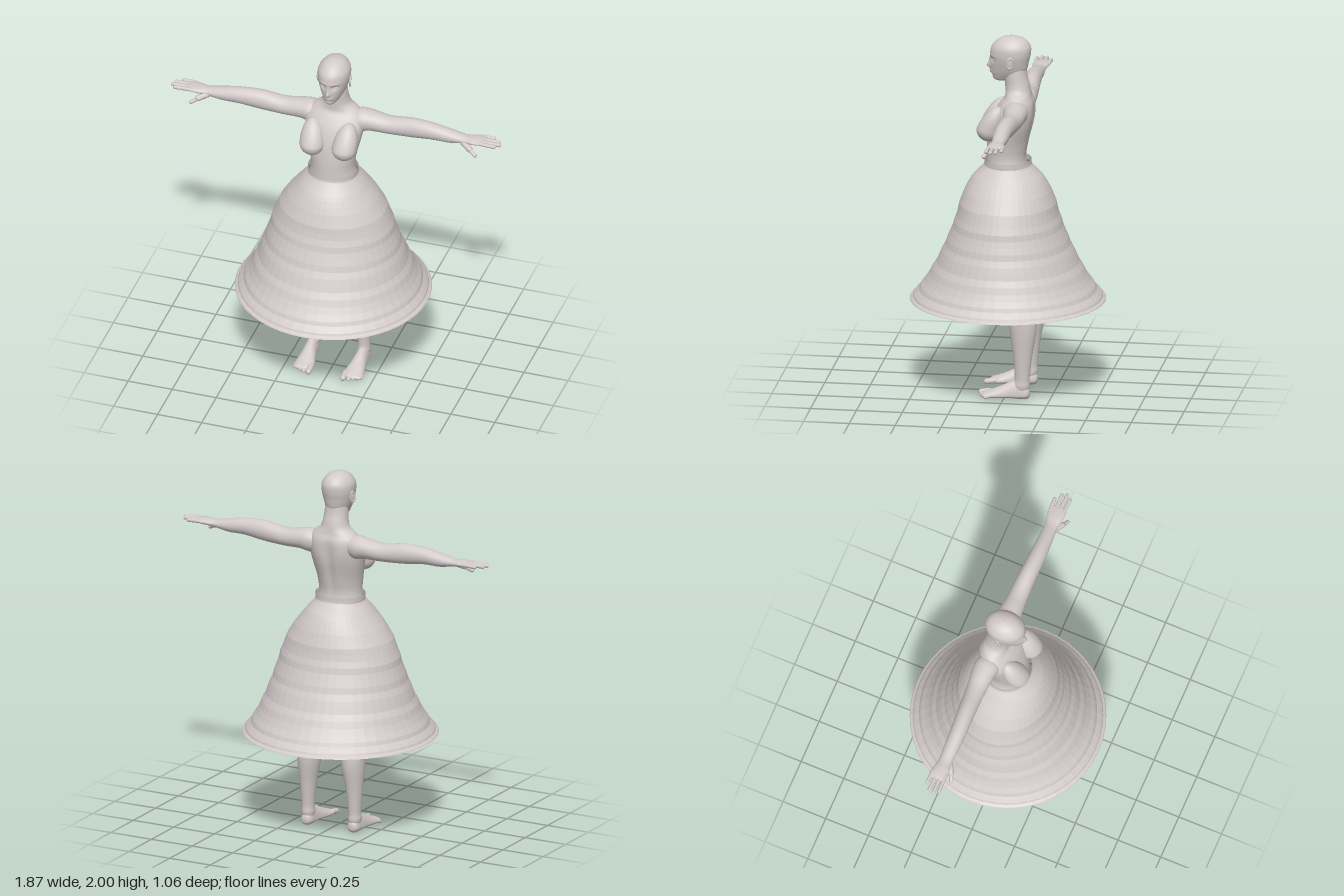
import * as THREE from 'three';

const clay = new THREE.MeshStandardMaterial({ color: 0xd3caca, side: THREE.DoubleSide });
clay.name = 'pale clay';

const bell = (d, w) => Math.exp(-(d * d) / (w * w));

// Smooth interpolation of number rows at fractional index t
function sampleRow(rows, t) {
  const i = Math.min(Math.floor(t), rows.length - 2), f = t - i;
  const at = k => rows[Math.max(0, Math.min(rows.length - 1, k))];
  const [p, q, r, s] = [at(i - 1), at(i), at(i + 1), at(i + 2)];
  return q.map((_, c) => {
    const m0 = (r[c] - p[c]) / 2, m1 = (s[c] - q[c]) / 2, f2 = f * f, f3 = f2 * f;
    return (2 * f3 - 3 * f2 + 1) * q[c] + (f3 - 2 * f2 + f) * m0 + (3 * f2 - 2 * f3) * r[c] + (f3 - f2) * m1;
  });
}

// Loft of oval sections; row = [along, centreA, centreB, radiusA, radiusB+, radiusB-]
function loft(rows, toXYZ, { sides = 32, steps = 5, sculpt } = {}) {
  const n = (rows.length - 1) * steps, pos = [], idx = [];
  for (let i = 0; i <= n; i++) {
    const [s, a, b, ra, rf, rb] = sampleRow(rows, i / steps);
    for (let j = 0; j < sides; j++) {
      const th = (j / sides) * Math.PI * 2, sn = Math.sin(th);
      const p = toXYZ(s, a + Math.cos(th) * Math.max(ra, 0.001), b + sn * Math.max(sn > 0 ? rf : rb, 0.001));
      if (sculpt) p[2] += sculpt(p[0], p[1], sn);
      pos.push(...p);
      if (i < n) {
        const k = i * sides + j, m = i * sides + ((j + 1) % sides);
        idx.push(k, k + sides, m, m, k + sides, m + sides);
      }
    }
  }
  const g = new THREE.BufferGeometry();
  g.setAttribute('position', new THREE.Float32BufferAttribute(pos, 3));
  g.setIndex(idx);
  g.computeVertexNormals();
  return g;
}
const alongY = (s, a, b) => [a, s, b];
const alongX = (s, a, b) => [s, b, a];
const alongZ = (s, a, b) => [a, b, s];

function add(parent, name, geometry) {
  const m = new THREE.Mesh(geometry, clay);
  m.name = name;
  parent.add(m);
  return m;
}

// Rounded finger or toe between two points
function digit(parent, name, from, to, r) {
  const a = new THREE.Vector3(...from), b = new THREE.Vector3(...to), d = b.clone().sub(a);
  const m = add(parent, name, new THREE.CapsuleGeometry(r, Math.max(d.length() - 2 * r, 0.002), 5, 12));
  m.position.copy(a).add(b).multiplyScalar(0.5);
  m.quaternion.setFromUnitVectors(new THREE.Vector3(0, 1, 0), d.normalize());
}

// Faceted bell skirt, open at waist and hem
function skirtGeometry() {
  const rows = [[0.525, 0.533, 0.53], [0.55, 0.51, 0.507], [0.6, 0.475, 0.468], [0.7, 0.425, 0.405],
    [0.8, 0.386, 0.355], [0.9, 0.352, 0.312], [1.0, 0.322, 0.277], [1.1, 0.275, 0.25],
    [1.2, 0.198, 0.2], [1.24, 0.166, 0.165], [1.272, 0.138, 0.135], [1.285, 0.137, 0.128], [1.31, 0.137, 0.127]];
  const steps = 3, sides = 48, n = (rows.length - 1) * steps, profile = [];
  for (let i = 0; i <= n; i++) {
    const [y, rx, rz] = sampleRow(rows, i / steps);
    const ripple = i > 0 && y < 1.2 ? 1 + 0.006 * Math.sin(i * 2.3) : 1;
    profile.push([y, rx * ripple, rz * ripple]);
  }
  const g = new THREE.LatheGeometry(profile.map(p => new THREE.Vector2(1, p[0])), sides);
  const v = g.attributes.position;
  for (let k = 0; k < v.count; k++) {
    const [, rx, rz] = profile[k % profile.length];
    v.setX(k, v.getX(k) * rx);
    v.setZ(k, v.getZ(k) * rz);
  }
  const flat = g.toNonIndexed();
  flat.computeVertexNormals();
  return flat;
}

// Teardrop: a ball drawn upward and back into the chest
function breastGeometry() {
  const g = new THREE.SphereGeometry(0.068, 32, 24), v = g.attributes.position;
  for (let k = 0; k < v.count; k++) {
    const y = v.getY(k);
    if (y > 0) {
      v.setY(k, y * 1.9);
      v.setZ(k, v.getZ(k) - y * 0.75);
      v.setX(k, v.getX(k) + y * 0.15);
    }
  }
  g.computeVertexNormals();
  return g;
}

export function createModel() {
  const model = new THREE.Group();
  model.name = 'figureInSkirt';

  // Torso and neck, with a groove down the spine and shoulder blades
  add(model, 'torso', loft([
    [0.93, 0, -0.03, 0.002, 0.002, 0.002], [0.96, 0, -0.03, 0.12, 0.09, 0.1], [1.08, 0, -0.03, 0.175, 0.125, 0.14],
    [1.2, 0, -0.01, 0.155, 0.125, 0.12], [1.31, 0, 0, 0.122, 0.115, 0.1], [1.4, 0, 0, 0.128, 0.112, 0.112],
    [1.5, 0, -0.02, 0.15, 0.118, 0.115], [1.58, 0, -0.03, 0.166, 0.1, 0.112], [1.63, 0, -0.045, 0.155, 0.085, 0.098],
    [1.665, 0, -0.055, 0.125, 0.07, 0.077], [1.695, 0, -0.055, 0.085, 0.068, 0.071],
    [1.73, 0, -0.053, 0.071, 0.068, 0.066], [1.78, 0, -0.045, 0.065, 0.063, 0.061], [1.84, 0, -0.04, 0.06, 0.05, 0.06],
  ], alongY, {
    sides: 64,
    sculpt: (x, y, sn) => sn > 0 ? 0 : -sn * (0.013 * bell(x, 0.025) * bell(y - 1.48, 0.15)
      - 0.01 * bell(Math.abs(x) - 0.08, 0.04) * bell(y - 1.57, 0.07)),
  }));

  // Head with brows, eye sockets, nose, lips and chin
  add(model, 'head', loft([
    [1.744, 0, 0.03, 0.002, 0.002, 0.002], [1.752, 0, 0.02, 0.028, 0.052, 0.05], [1.775, 0, 0, 0.046, 0.086, 0.08],
    [1.81, 0, -0.02, 0.065, 0.113, 0.083], [1.86, 0, -0.02, 0.081, 0.115, 0.095], [1.9, 0, -0.02, 0.088, 0.117, 0.104],
    [1.94, 0, -0.02, 0.085, 0.108, 0.104], [1.975, 0, -0.02, 0.062, 0.077, 0.08], [1.993, 0, -0.02, 0.033, 0.04, 0.042],
    [2, 0, -0.02, 0.002, 0.002, 0.002],
  ], alongY, {
    sides: 96, steps: 8,
    sculpt: (x, y, sn) => {
      if (sn <= 0) return 0;
      const ax = Math.abs(x);
      return sn * (0.02 * bell(x, 0.012) * bell(y - 1.829, 0.014) + 0.01 * bell(x, 0.01) * bell(y - 1.855, 0.022)
        - 0.013 * bell(ax - 0.034, 0.02) * bell(y - 1.871, 0.014) + 0.004 * bell(ax - 0.035, 0.025) * bell(y - 1.893, 0.008)
        + 0.008 * bell(x, 0.02) * (bell(y - 1.804, 0.005) + bell(y - 1.793, 0.006))
        - 0.005 * bell(x, 0.03) * bell(y - 1.781, 0.006));
    },
  }));

  add(model, 'skirt', skirtGeometry());

  // Paired parts, built on the left and mirrored to the right
  for (const side of [1, -1]) {
    const half = new THREE.Group();
    half.name = side > 0 ? 'leftSide' : 'rightSide';
    half.scale.x = side;
    model.add(half);

    add(half, 'breast', breastGeometry()).position.set(0.091, 1.495, 0.09);

    const eye = add(half, 'eye', new THREE.SphereGeometry(0.011, 16, 12));
    eye.position.set(0.034, 1.87, 0.068);
    eye.scale.set(1.3, 0.7, 0.8);

    // Ear: rim and inner bowl
    const ear = new THREE.Group();
    ear.name = 'ear';
    ear.position.set(0.088, 1.864, -0.024);
    ear.rotation.set(-0.15, Math.PI / 2 + 0.3, 0);
    half.add(ear);
    add(ear, 'earRim', new THREE.TorusGeometry(0.016, 0.005, 8, 24)).scale.set(1, 1.75, 1);
    add(ear, 'earBowl', new THREE.SphereGeometry(0.015, 16, 12)).scale.set(1, 1.75, 0.3);

    // Arm and palm
    add(half, 'arm', loft([
      [0.04, -0.06, 1.6, 0.03, 0.03, 0.03], [0.13, -0.062, 1.605, 0.066, 0.058, 0.07],
      [0.2, -0.066, 1.605, 0.062, 0.054, 0.06], [0.3, -0.066, 1.595, 0.053, 0.051, 0.05],
      [0.43, -0.062, 1.608, 0.048, 0.055, 0.057], [0.55, -0.057, 1.612, 0.045, 0.046, 0.047],
      [0.65, -0.057, 1.604, 0.041, 0.036, 0.038], [0.73, -0.057, 1.602, 0.036, 0.021, 0.021],
      [0.78, -0.057, 1.606, 0.045, 0.018, 0.019], [0.82, -0.06, 1.608, 0.048, 0.014, 0.015],
      [0.845, -0.06, 1.609, 0.044, 0.009, 0.009], [0.85, -0.06, 1.609, 0.002, 0.002, 0.002],
    ], alongX));
    [[-0.1, 0.892], [-0.072, 0.927], [-0.045, 0.937], [-0.02, 0.917]].forEach(([z, tip]) =>
      digit(half, 'finger', [0.8, 1.609, z * 0.9 - 0.006], [tip, 1.608, z], 0.0105));
    digit(half, 'thumbBase', [0.71, 1.597, -0.045], [0.785, 1.567, 0], 0.017);
    digit(half, 'thumbTip', [0.76, 1.578, -0.012], [0.815, 1.545, 0.012], 0.011);

    // Leg from ankle to hip
    add(half, 'leg', loft([
      [0.02, 0.143, -0.1, 0.02, 0.02, 0.02], [0.07, 0.143, -0.1, 0.035, 0.05, 0.04], [0.12, 0.143, -0.1, 0.034, 0.041, 0.04],
      [0.25, 0.141, -0.1, 0.046, 0.05, 0.055], [0.38, 0.135, -0.1, 0.063, 0.069, 0.075], [0.48, 0.133, -0.095, 0.067, 0.074, 0.074],
      [0.58, 0.13, -0.085, 0.063, 0.074, 0.066], [0.75, 0.115, -0.055, 0.08, 0.086, 0.085],
      [0.95, 0.1, -0.035, 0.092, 0.1, 0.11], [1.08, 0.09, -0.03, 0.075, 0.09, 0.1], [1.12, 0.09, -0.03, 0.002, 0.002, 0.002],
    ], alongY));

    // Foot, lofted from toes to heel
    add(half, 'foot', loft([
      [0.122, 0.14, 0.018, 0.002, 0.002, 0.002], [0.112, 0.14, 0.018, 0.048, 0.014, 0.012], [0.07, 0.14, 0.02, 0.054, 0.027, 0.018],
      [0.02, 0.141, 0.022, 0.047, 0.046, 0.019], [-0.03, 0.143, 0.024, 0.039, 0.068, 0.018],
      [-0.08, 0.143, 0.026, 0.035, 0.08, 0.024], [-0.12, 0.143, 0.03, 0.032, 0.05, 0.028],
      [-0.138, 0.143, 0.034, 0.02, 0.025, 0.02], [-0.142, 0.143, 0.034, 0.002, 0.002, 0.002],
    ], alongZ));
    for (let i = 0; i < 5; i++) {
      const r = i ? 0.0115 - i * 0.0005 : 0.016, x = i ? 0.107 + i * 0.0205 : 0.098;
      digit(half, 'toe', [x, r + 0.012, 0.07], [x, r, 0.147 - i * 0.011], r);
    }
  }
  return model;
}
